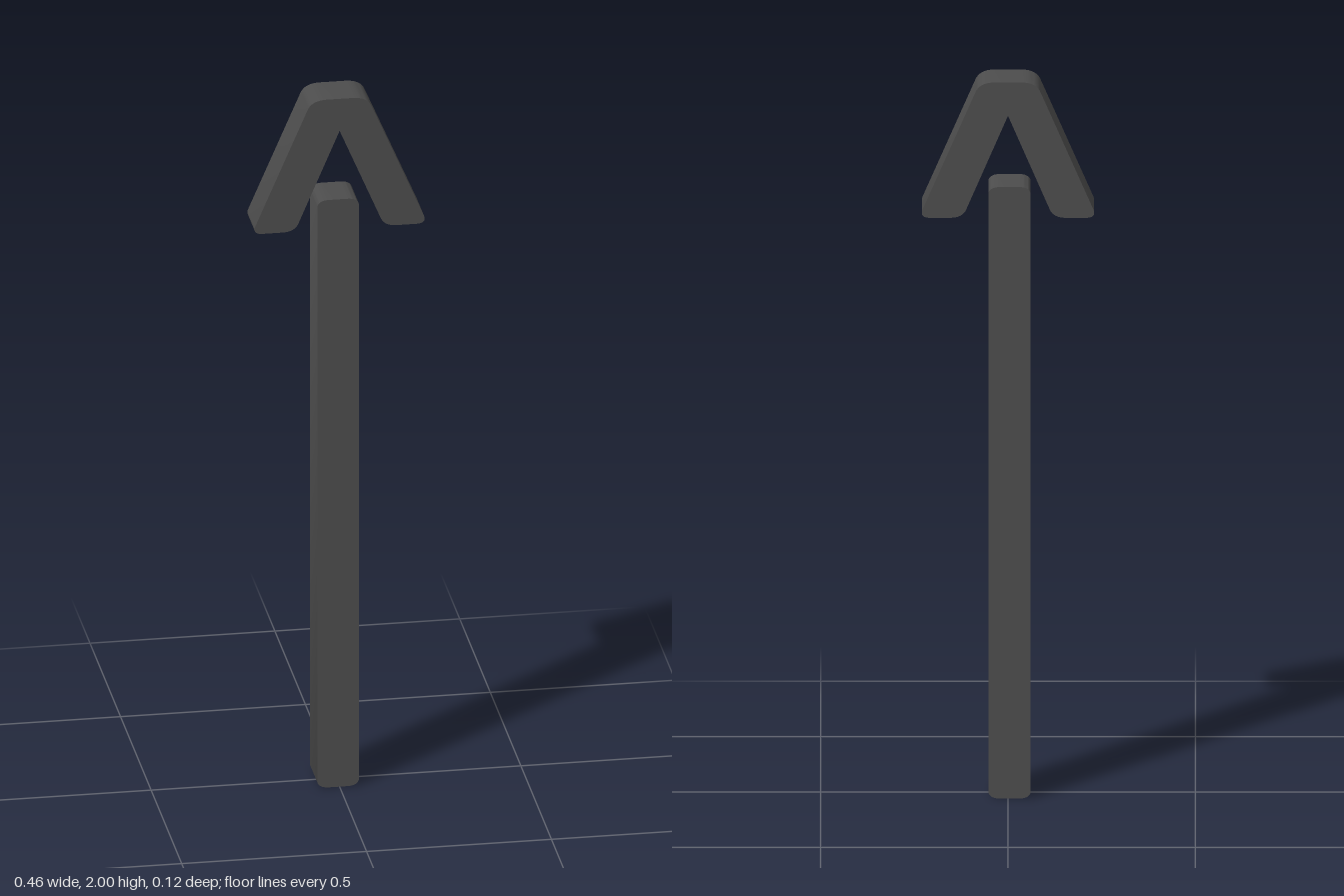
import * as THREE from 'three';
import { toCreasedNormals } from 'three/addons/utils/BufferGeometryUtils.js';

const DEPTH = 0.118;
const material = new THREE.MeshStandardMaterial({ color: 0x4d4d4d });

// Extrudes a flat outline to the shared thickness, centred on z = 0
function bar(name, shape) {
  const geometry = new THREE.ExtrudeGeometry(shape, { depth: DEPTH, bevelEnabled: false, curveSegments: 8 });
  geometry.translate(0, 0, -DEPTH / 2);
  const mesh = new THREE.Mesh(toCreasedNormals(geometry, 0.6), material);
  mesh.name = name;
  return mesh;
}

// Upright bar with softly crowned ends
function stemShape() {
  const w = 0.056, top = 1.708, drop = 0.016, flat = 0.025;
  const s = new THREE.Shape();
  s.moveTo(-w, drop);
  s.quadraticCurveTo(-w + 0.005, 0, -flat, 0);
  s.lineTo(flat, 0);
  s.quadraticCurveTo(w - 0.005, 0, w, drop);
  s.lineTo(w, top - drop);
  s.quadraticCurveTo(w - 0.005, top, flat, top);
  s.lineTo(-flat, top);
  s.quadraticCurveTo(-w + 0.005, top, -w, top - drop);
  s.closePath();
  return s;
}

// Chevron with a rounded crown and rounded feet
function headShape() {
  const s = new THREE.Shape();
  s.moveTo(0, 1.907);
  s.lineTo(-0.112, 1.644);
  s.quadraticCurveTo(-0.122, 1.622, -0.155, 1.622);
  s.lineTo(-0.212, 1.622);
  s.quadraticCurveTo(-0.236, 1.624, -0.228, 1.645);
  s.lineTo(-0.088, 1.97);
  s.quadraticCurveTo(-0.077, 2, -0.035, 2);
  s.lineTo(0.035, 2);
  s.quadraticCurveTo(0.077, 2, 0.088, 1.97);
  s.lineTo(0.228, 1.645);
  s.quadraticCurveTo(0.236, 1.624, 0.212, 1.622);
  s.lineTo(0.155, 1.622);
  s.quadraticCurveTo(0.122, 1.622, 0.112, 1.644);
  s.closePath();
  return s;
}

export function createModel() {
  const group = new THREE.Group();
  group.name = 'arrow';
  const stem = bar('stem', stemShape());
  stem.position.x = -0.004;
  group.add(stem, bar('arrowHead', headShape()));
  return group;
}
